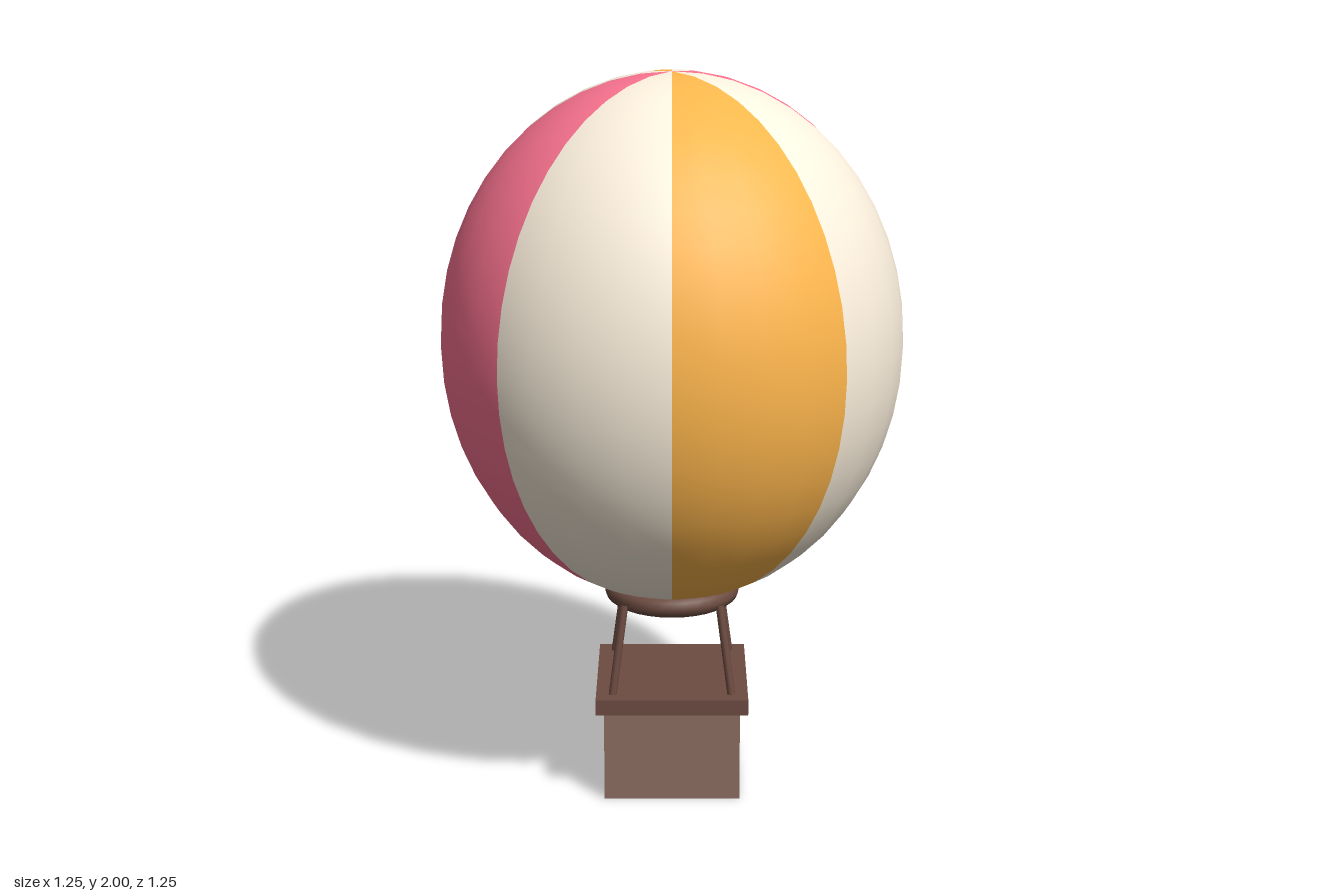
import * as THREE from 'three';

const paint = (color) => new THREE.MeshStandardMaterial({ color });

export function createModel() {
  const model = new THREE.Group();
  const add = (name, geometry, material, y = 0, parent = model) => {
    const mesh = new THREE.Mesh(geometry, material);
    mesh.name = name;
    mesh.position.y = y;
    parent.add(mesh);
    return mesh;
  };

  const pink = paint(0xff7593);
  const cream = paint(0xfff3e0);
  const orange = paint(0xffb74d);
  const darkWood = paint(0x6d4c41);

  // Envelope: eight coloured gores of a slightly tall sphere
  const envelope = new THREE.Group();
  envelope.name = 'envelope';
  envelope.position.y = 1.279;
  envelope.scale.y = 1.15;
  model.add(envelope);
  const colors = [pink, cream, orange, cream];
  const step = Math.PI / 4;
  for (let i = 0; i < 8; i++) {
    const gore = new THREE.SphereGeometry(0.627, 4, 24, i * step, step);
    add('gore', gore, colors[i % 4], 0, envelope);
  }

  // Ring at the mouth of the envelope
  const ring = new THREE.TorusGeometry(0.158, 0.03, 10, 32).rotateX(Math.PI / 2);
  add('mouthRing', ring, darkWood, 0.56);

  // Basket with an overhanging rim
  add('basket', new THREE.BoxGeometry(0.376, 0.262, 0.376), paint(0x8d6e63), 0.131);
  add('basketRim', new THREE.BoxGeometry(0.42, 0.045, 0.42), darkWood, 0.283);

  // Four ropes from the rim corners up to the ring
  for (const sx of [-1, 1]) {
    for (const sz of [-1, 1]) {
      const path = new THREE.LineCurve3(
        new THREE.Vector3(0.166 * sx, 0.29, 0.166 * sz),
        new THREE.Vector3(0.131 * sx, 0.555, 0.131 * sz));
      add('rope', new THREE.TubeGeometry(path, 1, 0.011, 8), darkWood);
    }
  }
  return model;
}
